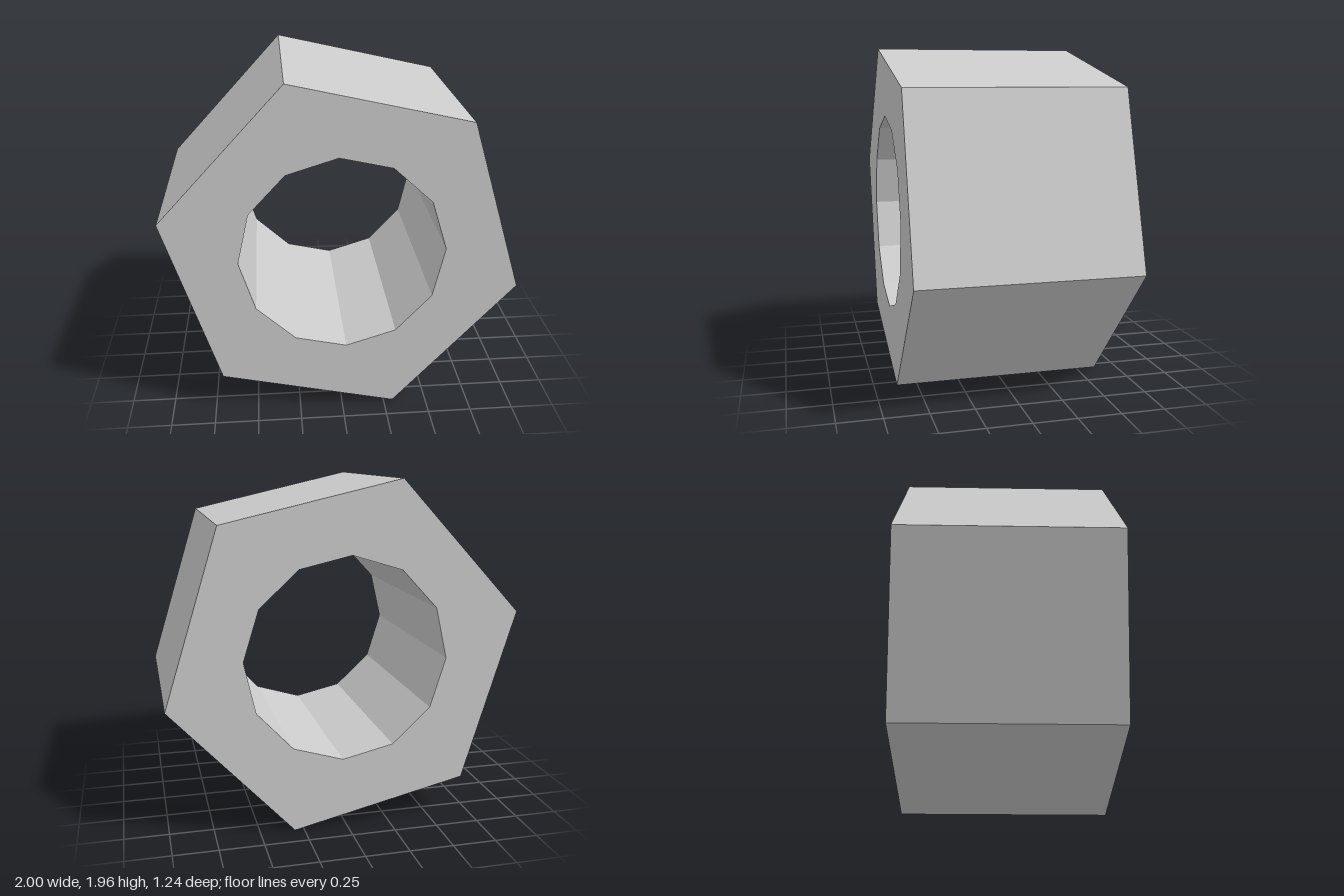
import * as THREE from 'three';

const TILT = THREE.MathUtils.degToRad(-12.8);
const OUTER_RADIUS = 1.0255;
const BORE_RADIUS = 0.578;
const DEPTH = 1.235;

// Corners of a regular polygon, counter-clockwise from the start angle
function polygon(sides, radius, start) {
  return Array.from({ length: sides }, (_, i) => {
    const a = start + (i / sides) * Math.PI * 2;
    return new THREE.Vector2(Math.cos(a) * radius, Math.sin(a) * radius);
  });
}

export function createModel() {
  const group = new THREE.Group();
  group.name = 'hexNut';

  // Hexagonal body with a twelve-sided bore, offset half a step from the corners
  const outline = new THREE.Shape(polygon(6, OUTER_RADIUS, TILT));
  outline.holes.push(new THREE.Path(polygon(12, BORE_RADIUS, TILT + Math.PI / 12).reverse()));

  const geometry = new THREE.ExtrudeGeometry(outline, { depth: DEPTH, bevelEnabled: false });
  geometry.translate(0, 0, -DEPTH / 2);

  // Stand the lowest corner on the ground
  geometry.computeBoundingBox();
  geometry.translate(0, -geometry.boundingBox.min.y, 0);

  const body = new THREE.Mesh(
    geometry,
    new THREE.MeshStandardMaterial({ color: 0xcccccc, flatShading: true })
  );
  body.name = 'nutBody';
  group.add(body);
  return group;
}
